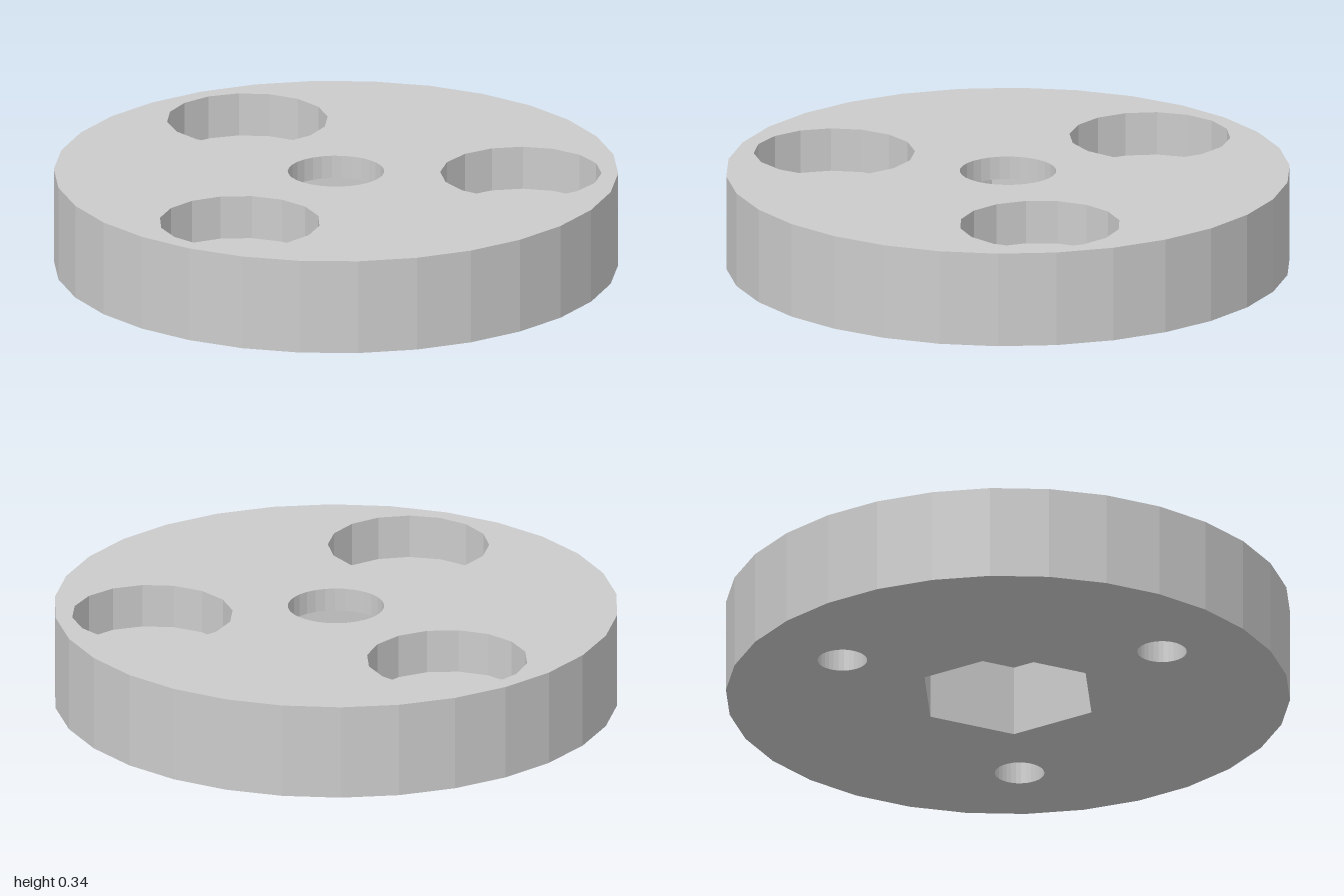
import * as THREE from 'three';

const HEIGHT = 0.343, FLOOR = 0.186, POCKET = 0.26;

// Polygonal circle on the ground plane; rot is the angle of its first corner.
const ring = (r, n, x = 0, z = 0, rot = 0) => ({ r, n, x, z, rot });

const points = ({ r, n, x, z, rot }) => Array.from({ length: n }, (_, i) => {
  const a = rot + (i / n) * Math.PI * 2;
  return new THREE.Vector2(x + r * Math.cos(a), -(z + r * Math.sin(a)));
});

export function createModel() {
  const group = new THREE.Group();
  const material = new THREE.MeshStandardMaterial({ color: 0xcccccc, flatShading: true });

  const add = (name, geometry) => {
    const flat = geometry.toNonIndexed();
    flat.computeVertexNormals();
    const mesh = new THREE.Mesh(flat, material);
    mesh.name = name;
    group.add(mesh);
  };

  // Flat face at height y with holes, facing up or down.
  const face = (name, outline, holes, y, up) => {
    const shape = new THREE.Shape(points(outline));
    shape.holes = holes.map((h) => new THREE.Path(points(h)));
    const geo = new THREE.ShapeGeometry(shape).rotateX(-Math.PI / 2).translate(0, y, 0);
    if (!up) geo.index.array.reverse();
    add(name, geo);
  };

  // Upright wall around a ring, facing out or into the hole.
  const wall = (name, c, y0, y1, inward) => {
    const geo = new THREE.CylinderGeometry(c.r, c.r, y1 - y0, c.n, 1, true, Math.PI / 2 - c.rot);
    geo.translate(c.x, (y0 + y1) / 2, c.z);
    if (inward) geo.index.array.reverse();
    add(name, geo);
  };

  const rim = ring(1, 30);
  const bore = ring(0.171, 30);
  const hex = ring(0.33, 6);
  const angles = [0, 1, 2].map((i) => (i * Math.PI * 2) / 3);
  const around = (r, n) => angles.map((a) => ring(r, n, 0.655 * Math.cos(a), 0.655 * Math.sin(a), a));
  const recesses = around(0.286, 16);
  const boltHoles = around(0.088, 30);

  // Disc
  wall('discRim', rim, 0, HEIGHT, false);
  face('discTop', rim, [bore, ...recesses], HEIGHT, true);
  face('discBottom', rim, [hex, ...boltHoles], 0, false);

  // Hexagonal nut pocket below, opening into the round centre bore
  wall('nutPocketWall', hex, 0, POCKET, true);
  face('nutPocketCeiling', hex, [bore], POCKET, false);
  wall('centreBore', bore, POCKET, HEIGHT, true);

  // Three counterbored bolt holes
  recesses.forEach((recess, i) => {
    wall('recessWall', recess, FLOOR, HEIGHT, true);
    face('recessFloor', recess, [boltHoles[i]], FLOOR, true);
    wall('boltHole', boltHoles[i], 0, FLOOR, true);
  });

  return group;
}
